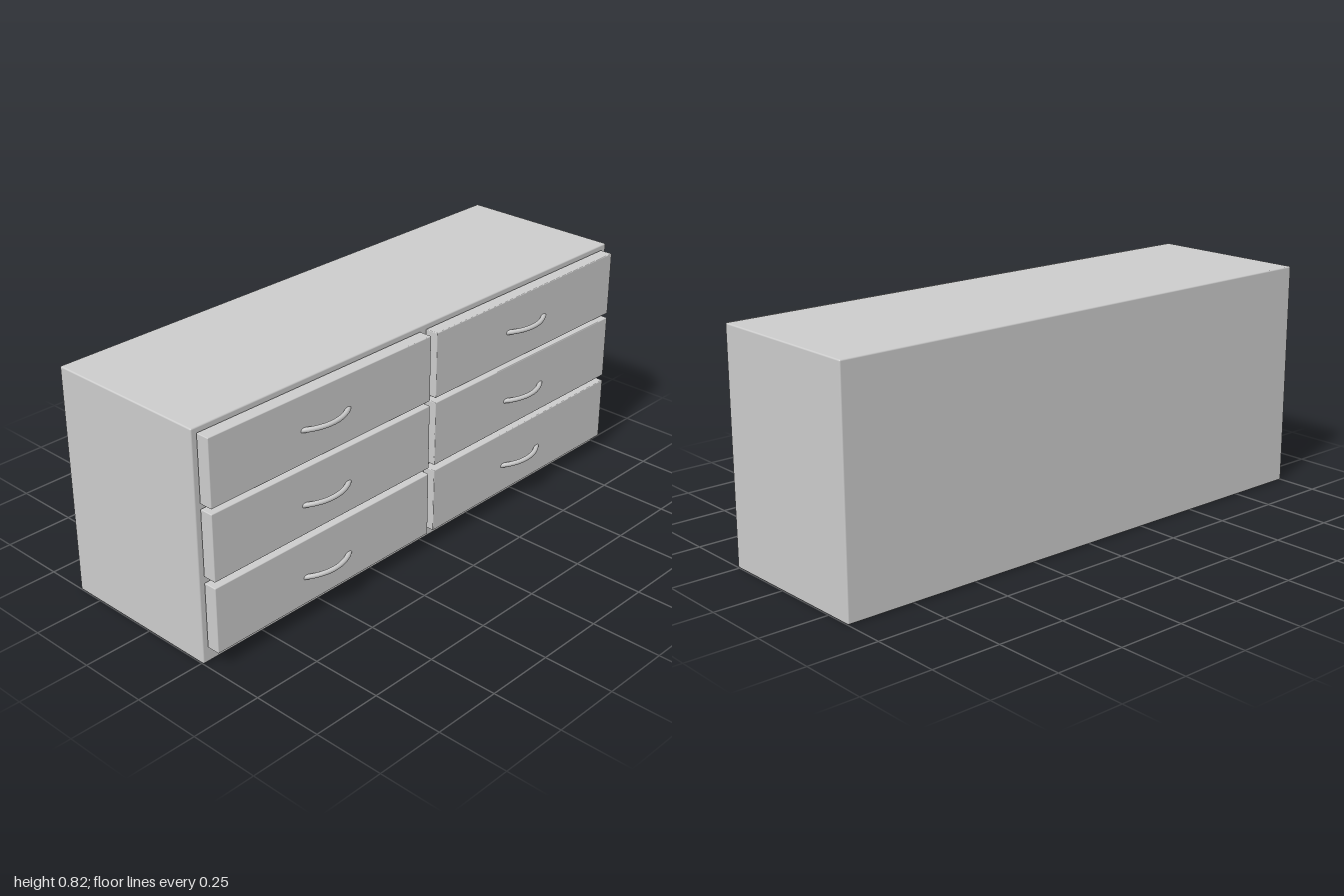
import * as THREE from 'three';
import { RoundedBoxGeometry } from 'three/addons/geometries/RoundedBoxGeometry.js';

export function createModel() {
  const model = new THREE.Group();
  model.name = 'dresser';
  const material = new THREE.MeshStandardMaterial({ color: 0xcccccc });

  function addMesh(parent, name, geometry, x, y, z) {
    const mesh = new THREE.Mesh(geometry, material);
    mesh.name = name;
    mesh.position.set(x, y, z);
    parent.add(mesh);
    return mesh;
  }

  // Cabinet body with softly eased edges
  addMesh(model, 'cabinet', new RoundedBoxGeometry(2, 0.817, 0.608, 3, 0.005), 0, 0.4085, -0.046);

  // Bowed handle: a round bar swept along a shallow arc, ends sunk in the drawer front
  const arcRadius = 0.1735, halfAngle = 0.7;
  const arcPoints = [];
  for (let i = 0; i <= 12; i++) {
    const a = -halfAngle + (2 * halfAngle * i) / 12;
    arcPoints.push(new THREE.Vector3(arcRadius * Math.sin(a), 0, arcRadius * (Math.cos(a) - 1)));
  }
  const handleGeometry = new THREE.TubeGeometry(new THREE.CatmullRomCurve3(arcPoints), 32, 0.0085, 16);

  // Two columns of three drawers
  const frontGeometry = new RoundedBoxGeometry(0.96, 0.235, 0.049, 3, 0.003);
  const columns = [
    { side: 'right', x: -0.505, handleX: -0.508, handleY: [0.682, 0.42, 0.156] },
    { side: 'left', x: 0.483, handleX: 0.475, handleY: [0.682, 0.42, 0.163] },
  ];
  const rows = [['Top', 0.685], ['Middle', 0.4325], ['Bottom', 0.176]];
  for (const { side, x, handleX, handleY } of columns) {
    rows.forEach(([row, y], i) => {
      const drawer = new THREE.Group();
      drawer.name = `${side}${row}Drawer`;
      addMesh(drawer, 'drawerFront', frontGeometry, x, y, 0.2885);
      addMesh(drawer, 'handle', handleGeometry, handleX, handleY[i], 0.3415);
      model.add(drawer);
    });
  }
  return model;
}
